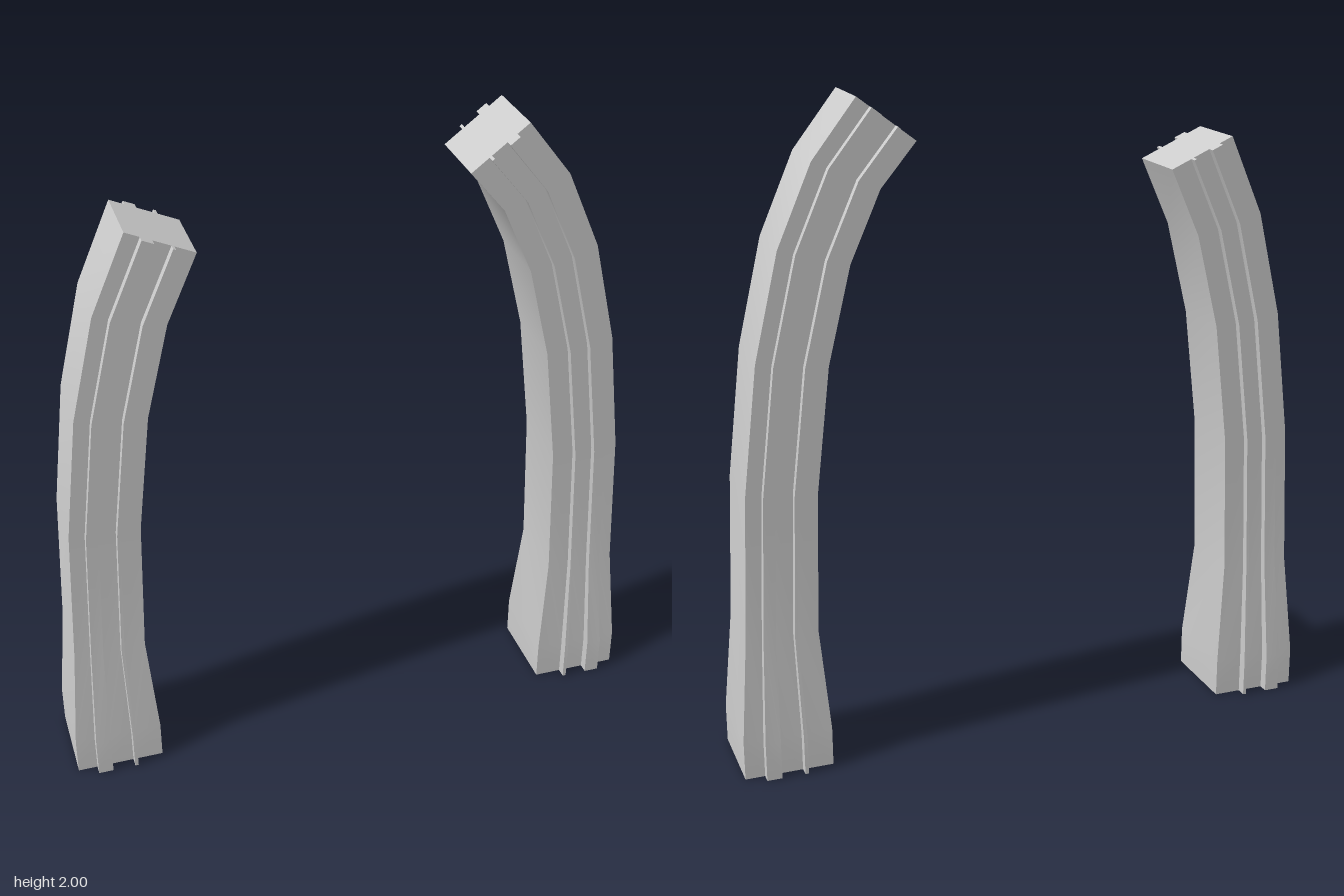
import * as THREE from 'three';
import { toCreasedNormals } from 'three/addons/utils/BufferGeometryUtils.js';

// Stations up the arch: outer x, outer y, inner x, inner y, half depth, half depth at the ridges
const STATIONS = [
  [0.917, 0, 0.647, 0, 0.132, 0.163],
  [0.917, 0.12, 0.647, 0.12, 0.132, 0.163],
  [0.89, 0.44, 0.672, 0.44, 0.108, 0.131],
  [0.87, 0.88, 0.657, 0.87, 0.108, 0.131],
  [0.823, 1.27, 0.612, 1.245, 0.108, 0.131],
  [0.747, 1.59, 0.54, 1.535, 0.108, 0.131],
  [0.642, 1.83, 0.447, 1.742, 0.108, 0.131],
  [0.51, 2.0, 0.34, 1.87, 0.108, 0.131],
];

// Half profile: fraction from outer to inner edge, and whether the point is raised on a ridge
const HALF = [[0, 0], [0.22, 0], [0.22, 1], [0.39, 1], [0.39, 0],
  [0.65, 0], [0.65, 1], [0.69, 1], [0.69, 0], [1, 0]];
const PROFILE = [
  ...HALF.map(([f, r]) => ({ f, r, side: 1 })),
  ...HALF.slice().reverse().map(([f, r]) => ({ f, r, side: -1 })),
];

// Loft the ridged profile through the stations; sign picks the side of the model
function archGeometry(stations, sign) {
  const n = PROFILE.length;
  const positions = [];
  const index = [];
  const tri = (a, b, c) => (sign > 0 ? index.push(a, b, c) : index.push(a, c, b));

  for (const [ox, oy, ix, iy, body, ridge] of stations) {
    for (const { f, r, side } of PROFILE) {
      positions.push(
        sign * THREE.MathUtils.lerp(ox, ix, f),
        THREE.MathUtils.lerp(oy, iy, f),
        side * (r ? ridge : body),
      );
    }
  }

  // Long walls
  for (let s = 0; s < stations.length - 1; s++) {
    for (let i = 0; i < n; i++) {
      const a = s * n + i;
      const b = s * n + (i + 1) % n;
      tri(a, a + n, b + n);
      tri(a, b + n, b);
    }
  }

  // End caps
  const outline = PROFILE.map(({ f, r, side }) => new THREE.Vector2(f, -side * (r ? 0.6 : 0.5)));
  const top = (stations.length - 1) * n;
  for (const [a, b, c] of THREE.ShapeUtils.triangulateShape(outline, [])) {
    tri(a, b, c);
    tri(top + a, top + c, top + b);
  }

  const geometry = new THREE.BufferGeometry();
  geometry.setAttribute('position', new THREE.Float32BufferAttribute(positions, 3));
  geometry.setIndex(index);
  return toCreasedNormals(geometry, 0.5);
}

export function createModel() {
  const group = new THREE.Group();
  group.name = 'brokenArch';
  const material = new THREE.MeshStandardMaterial({ color: 0xcccccc });

  // The right pillar breaks off one section earlier than the left
  const parts = [['leftPillar', 1, STATIONS], ['rightPillar', -1, STATIONS.slice(0, -1)]];
  for (const [name, sign, stations] of parts) {
    const pillar = new THREE.Mesh(archGeometry(stations, sign), material);
    pillar.name = name;
    group.add(pillar);
  }
  return group;
}
